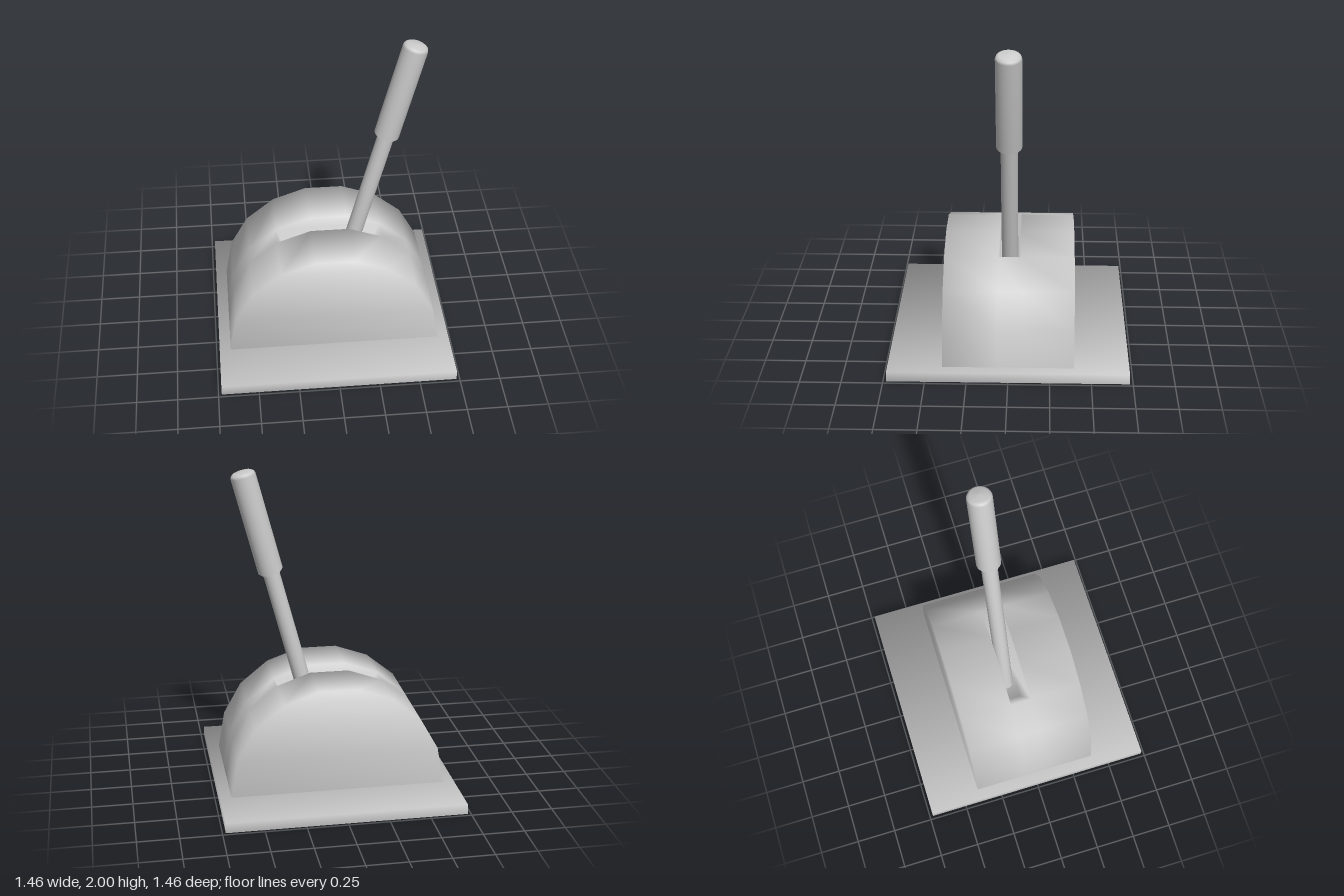
import * as THREE from 'three';
import { mergeVertices } from 'three/addons/utils/BufferGeometryUtils.js';

const material = new THREE.MeshStandardMaterial({ color: 0xcccccc, roughness: 0.8, side: THREE.DoubleSide });

function addMesh(parent, name, geometry) {
  const mesh = new THREE.Mesh(geometry, material);
  mesh.name = name;
  parent.add(mesh);
  return mesh;
}

// Welds the corners and shades smoothly across every edge, weighting faces by corner angle
function smooth(source) {
  source.deleteAttribute('normal');
  source.deleteAttribute('uv');
  const geometry = mergeVertices(source);
  const position = geometry.attributes.position;
  const index = geometry.index;
  const points = Array.from({ length: position.count }, (_, i) => new THREE.Vector3().fromBufferAttribute(position, i));
  const normals = points.map(() => new THREE.Vector3());
  for (let t = 0; t < index.count; t += 3) {
    for (let k = 0; k < 3; k++) {
      const [a, b, c] = [0, 1, 2].map((j) => index.getX(t + ((k + j) % 3)));
      const ab = points[b].clone().sub(points[a]);
      const ac = points[c].clone().sub(points[a]);
      const faceNormal = ab.clone().cross(ac).normalize();
      normals[a].addScaledVector(faceNormal, ab.angleTo(ac));
    }
  }
  const flat = normals.flatMap((n) => n.normalize().toArray());
  geometry.setAttribute('normal', new THREE.Float32BufferAttribute(flat, 3));
  return geometry;
}

// Shallow square tray turned upside down: a top and four sides, open underneath
function baseGeometry() {
  const box = new THREE.BoxGeometry(1.46, 0.063, 1.46);
  const bottomStart = 18, bottomEnd = 24;
  box.setIndex([...box.index.array].filter((_, i) => i < bottomStart || i >= bottomEnd));
  box.translate(0, 0.0355, 0);
  return smooth(box);
}

// Arched housing with a slot whose ends slope down to the foot of the handle
function housingGeometry() {
  const half = [[0.66, 0.067], [0.62, 0.3], [0.508, 0.5], [0.33, 0.645], [0.12, 0.72]];
  const dome = [...half, ...half.map(([x, y]) => [-x, y]).reverse()];
  const slot = dome.map(([x, y]) => [x, Math.abs(x) < 0.2 ? 0.068 : y]);
  const slotZ = 0.067, endZ = 0.397;
  const vertices = [];
  const quad = (a, b, c, d) => vertices.push(...a, ...b, ...c, ...a, ...c, ...d);

  // Upright face at one depth, turned to the front or the back
  const upright = (corners, z, facesFront) => {
    const ring = corners.map(([x, y]) => [x, y, z]);
    quad(...(facesFront ? ring : ring.reverse()));
  };

  // Arched strips: back, slot, front
  for (const [profile, z0, z1] of [[dome, -endZ, -slotZ], [slot, -slotZ, slotZ], [dome, slotZ, endZ]]) {
    for (let i = 0; i < 9; i++) {
      const p = profile[i], q = profile[i + 1];
      quad([...p, z0], [...q, z0], [...q, z1], [...p, z1]);
    }
  }
  // End walls and slot walls
  for (const side of [-1, 1]) {
    for (let i = 0; i < 4; i++) {
      upright([dome[i], dome[i + 1], dome[8 - i], dome[9 - i]], side * endZ, side > 0);
    }
    upright([dome[3], dome[4], dome[5], dome[6]], side * slotZ, side < 0);
    upright([dome[3], dome[6], slot[5], slot[4]], side * slotZ, side < 0);
  }

  const geometry = new THREE.BufferGeometry();
  geometry.setAttribute('position', new THREE.Float32BufferAttribute(vertices, 3));
  return smooth(geometry);
}

export function createModel() {
  const model = new THREE.Group();
  model.name = 'lever';

  addMesh(model, 'basePlate', baseGeometry());
  addMesh(model, 'housing', housingGeometry());

  // Tilted handle: slim rod widening into a grip, its foot just piercing the base
  const profile = [
    [0, 0.048], [0.051, 0.048], [0.051, 1.38], [0.077, 1.408],
    [0.077, 2.016], [0.071, 2.031], [0.055, 2.041], [0, 2.046],
  ];
  const handle = addMesh(model, 'handle', new THREE.LatheGeometry(profile.map(([r, y]) => new THREE.Vector2(r, y)), 24));
  handle.position.set(-0.008, 0.0135, 0);
  handle.rotation.z = -THREE.MathUtils.degToRad(14.8);

  return model;
}
